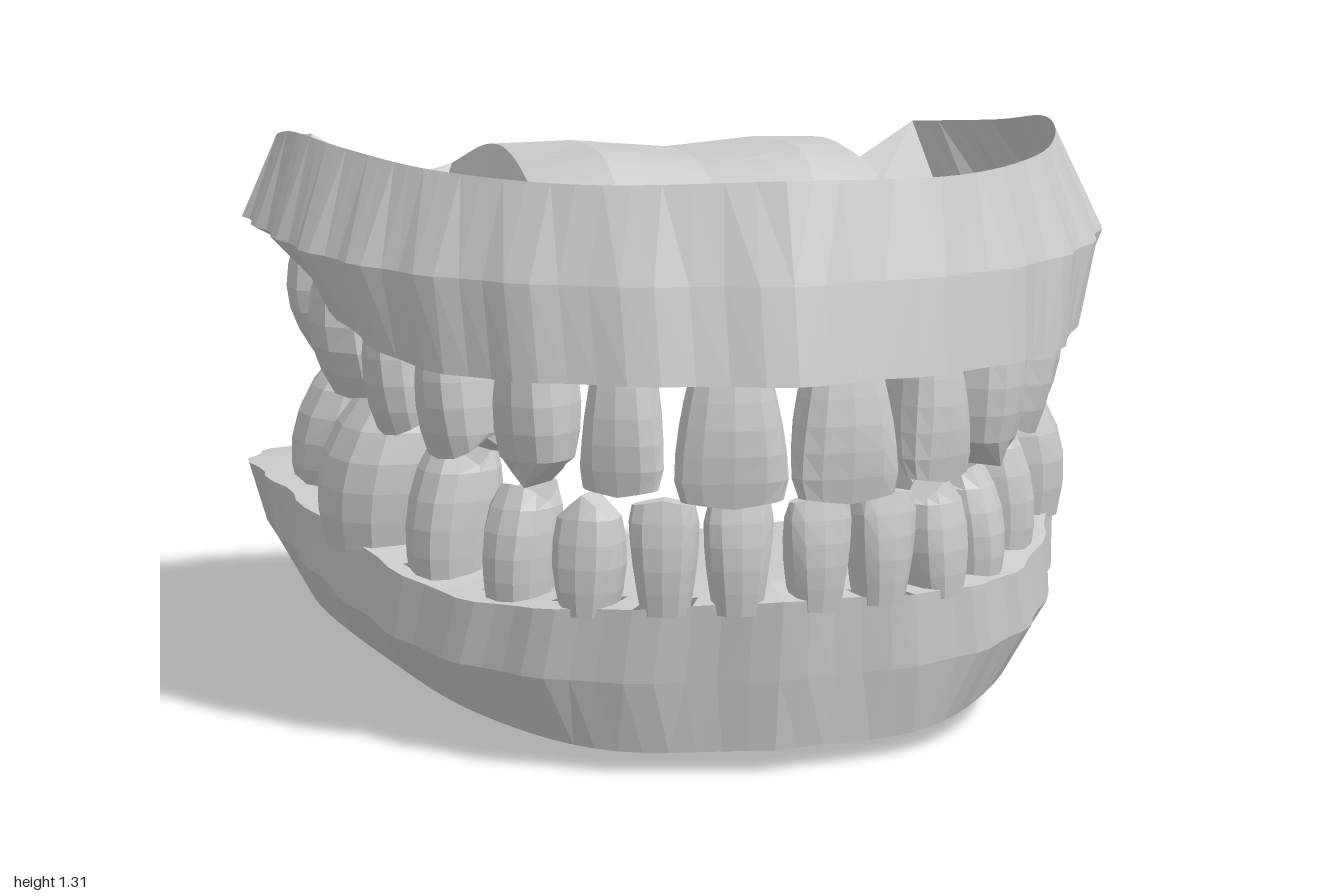
import * as THREE from 'three';

const gumMaterial = new THREE.MeshStandardMaterial({ color: 0xcccccc, flatShading: true, side: THREE.DoubleSide });
const toothMaterial = new THREE.MeshStandardMaterial({ color: 0xcccccc, flatShading: true });
const V = (x, y, z) => new THREE.Vector3(x, y, z);
const STEPS = 40;

// Each row runs from the middle of the front to the back of one side: [x, y, z]
const upperRows = [
  [[0, 1.29, .8], [.4, 1.28, .68], [.67, 1.29, .42], [.82, 1.31, .12], [.9, 1.32, -.2], [.9, 1.28, -.55], [.78, 1.25, -.88]],
  [[0, 1.08, .87], [.45, 1.08, .74], [.74, 1.08, .48], [.91, 1.09, .18], [.975, 1.1, -.15], [.985, 1.1, -.48], [.83, 1.06, -.79]],
  [[0, .88, .92], [.44, .88, .78], [.72, .88, .5], [.85, .94, .18], [.88, 1.04, -.15], [.87, 1.07, -.42], [.76, .88, -.71]],
  [[0, .9, .73], [.24, .9, .64], [.42, .9, .46], [.53, .9, .18], [.55, .88, -.2], [.55, .88, -.55], [.55, .89, -.71]],
  [[0, .94, .62], [.15, .95, .55], [.32, .99, .36], [.4, 1.19, .15], [.4, 1.26, -.2], [.4, 1.25, -.52], [.43, 1.17, -.87]],
  [[0, .92, .56], [.08, .93, .5], [.2, 1.0, .34], [.23, 1.25, .13], [.23, 1.28, -.2], [.23, 1.25, -.52], [.22, 1.18, -.87]],
  [[0, .9, .52], [0, .92, .47], [0, 1.0, .34], [0, 1.22, .13], [0, 1.26, -.2], [0, 1.23, -.52], [0, 1.18, -.85]],
];
const lowerRows = [
  [[0, .06, .73], [.36, .06, .64], [.6, .1, .42], [.76, .16, .1], [.85, .19, -.25], [.84, .17, -.6], [.72, .01, -.92]],
  [[0, .22, .76], [.42, .22, .66], [.68, .23, .42], [.83, .28, .1], [.92, .34, -.25], [.93, .34, -.6], [.79, .26, -.86]],
  [[0, .4, .79], [.4, .38, .68], [.65, .37, .45], [.83, .43, .1], [.93, .48, -.25], [.98, .5, -.55], [.84, .49, -.77]],
  [[0, .42, .67], [.26, .4, .55], [.42, .41, .36], [.51, .45, .1], [.55, .51, -.25], [.56, .54, -.55], [.6, .5, -.77]],
  [[0, .2, .6], [.2, .2, .48], [.36, .2, .3], [.44, .22, .08], [.46, .24, -.25], [.47, .24, -.55], [.5, .22, -.82]],
  [[0, .19, .58], [0, .19, .46], [0, .19, .28], [0, .2, .06], [0, .21, -.25], [0, .21, -.55], [0, .2, -.82]],
];

// name, kind, x, z, width, depth, neck y, edge y, outward turn in degrees
const upperTeeth = [
  ['CentralIncisor', 'incisor', .12, .81, .24, .15, .9, .62, 6],
  ['LateralIncisor', 'incisor', .33, .735, .18, .15, .92, .64, 26],
  ['Canine', 'canine', .49, .61, .18, .2, .94, .64, 46],
  ['FirstPremolar', 'premolar', .61, .4, .17, .24, .96, .67, 60],
  ['SecondPremolar', 'premolar', .69, .21, .18, .25, .98, .69, 72],
  ['FirstMolar', 'molar', .725, -.045, .36, .36, 1.02, .74, 85],
  ['SecondMolar', 'molar', .73, -.41, .33, .36, 1.04, .78, 93],
];
const lowerTeeth = [
  ['CentralIncisor', 'incisor', .085, .73, .15, .13, .37, .62, 4],
  ['LateralIncisor', 'incisor', .235, .7, .15, .13, .37, .62, 18],
  ['Canine', 'canine', .38, .615, .16, .16, .36, .62, 36],
  ['FirstPremolar', 'premolar', .5, .47, .16, .2, .36, .62, 50],
  ['SecondPremolar', 'premolar', .62, .28, .18, .23, .37, .68, 65],
  ['FirstMolar', 'molar', .72, .02, .35, .36, .41, .745, 80],
  ['SecondMolar', 'molar', .74, -.35, .35, .36, .46, .77, 90],
];

// True where a tooth passes through the gum
function insideTooth(p, teeth) {
  return teeth.some(([, , x, z, w, d, , , turn]) => {
    const a = THREE.MathUtils.degToRad(turn), dx = p.x - x, dz = p.z - z;
    const across = dx * Math.cos(a) - dz * Math.sin(a), out = dx * Math.sin(a) + dz * Math.cos(a);
    return Math.hypot(across / (w * .34), out / (d * .36)) < 1;
  });
}

// Skin between the rows with open tooth sockets, and the back end closed by a fan
function gumHalf(rows, teeth, capExtra) {
  const grid = rows.map((row, r) => {
    const curve = new THREE.CatmullRomCurve3(row.map(p => V(...p)));
    return Array.from({ length: STEPS + 1 }, (_, i) => {
      const p = curve.getPoint(i / STEPS);
      // Shallow root ridges on the outer wall
      if ((r === 1 || r === 2) && i > 0 && i < STEPS) {
        const k = 1 + .007 * (i % 4 < 2 ? 1 : -1);
        p.x *= k;
        p.z *= k;
      }
      return p;
    });
  });
  const pos = [];
  const tri = (...ps) => ps.forEach(p => pos.push(p.x, p.y, p.z));
  for (let r = 0; r < rows.length - 1; r++) {
    const bands = r === 2 ? 8 : 1;                  // fine bands where the sockets are
    for (let i = 0; i < STEPS; i++) {
      for (let j = 0; j < bands; j++) {
        const at = (col, k) => grid[r][col].clone().lerp(grid[r + 1][col], k / bands);
        const a = at(i, j), b = at(i + 1, j), c = at(i + 1, j + 1), d = at(i, j + 1);
        const middle = a.clone().lerp(c, .5);
        if (r === 2 && insideTooth(middle, teeth)) continue;
        tri(a, d, b);
        tri(b, d, c);
      }
    }
  }
  const cap = grid.slice(0, 5).map(g => g[STEPS]).concat(capExtra);
  const mid = cap.reduce((s, p) => s.add(p), V(0, 0, 0)).divideScalar(cap.length);
  cap.forEach((p, i) => tri(p, mid, cap[(i + 1) % cap.length]));
  const geo = new THREE.BufferGeometry();
  geo.setAttribute('position', new THREE.Float32BufferAttribute(pos, 3));
  geo.computeVertexNormals();
  return geo;
}

// Hollow crown profile: biting face, outer wall up to the neck, then the inside
const crownProfile = [[0, -1], [1, -1], [1, -.8], [1, -.6], [1, -.4], [1, -.2], [1, 0], [.82, -.72], [0, -.7]]
  .map(p => new THREE.Vector2(...p));

// Crown with its neck at the top and its biting edge at the bottom
function toothGeometry(kind, w, d, h, { lean, neckWidth, edgeTaper }) {
  const geo = new THREE.LatheGeometry(crownProfile, 12);
  const p = geo.attributes.position;
  for (let i = 0; i < p.count; i++) {
    const t = -p.getY(i);                           // 0 neck, 1 biting edge
    let x = p.getX(i), z = p.getZ(i);
    const centre = Math.hypot(x, z) < .01;
    const belly = Math.sin(t * 2.9);
    // Squarer outline than a circle
    x = Math.sign(x) * Math.pow(Math.abs(x), .8);
    z = Math.sign(z) * Math.pow(Math.abs(z), .8);
    let sx, sz, y = -t * h, dz = 0;
    if (kind === 'incisor') {
      sx = .7 + .3 * Math.sin(Math.min(t * 1.9, 1.57));
      sz = .8 + .25 * belly - .5 * t * t;
      dz = d * .2 * t * t;
      if (t > .99) { sx *= .9; y += h * .05 * Math.abs(x); }
    } else if (kind === 'canine') {
      sx = .7 + .3 * belly - .1 * t * t;
      sz = .85 + .15 * belly - .4 * t * t;
      if (t > .99) y += h * .17 * Math.abs(x);
    } else {
      sx = neckWidth + (1 - neckWidth) * Math.sin(Math.min(t * 2.1, 1.57)) - edgeTaper * Math.pow(t, 5);
      sz = .84 + .16 * belly - .26 * t * t;
      dz = -lean * d * t * t;
      if (t > .99) y += centre ? h * .18 : h * (kind === 'molar' ? .09 : .16) * (1 - Math.abs(z));
    }
    p.setXYZ(i, x * sx * w / 2, y, z * sz * d / 2 + dz);
  }
  return geo;
}

function addTeeth(parent, jaw, list, form) {
  for (const [name, kind, x, z, w, d, neck, edge, turn] of list) {
    const geo = toothGeometry(kind, w, d, Math.abs(neck - edge), form);
    // Lower crowns are turned over, keeping their outer face outward
    if (edge > neck) geo.rotateZ(Math.PI);
    geo.rotateY(THREE.MathUtils.degToRad(turn));
    geo.translate(x, neck, z);
    geo.computeVertexNormals();
    const tooth = new THREE.Mesh(geo, toothMaterial);
    tooth.name = jaw + name;
    parent.add(tooth);
  }
}

export function createModel() {
  const model = new THREE.Group();
  model.name = 'dentalModel';

  const upperGum = gumHalf(upperRows, upperTeeth, [V(.58, 1.13, -.85)]);
  const lowerGum = gumHalf(lowerRows, lowerTeeth, [V(.67, .08, -.9)]);

  for (const [side, sign] of [['left', 1], ['right', -1]]) {
    const half = new THREE.Group();
    half.name = side + 'Half';
    half.scale.x = sign;
    const upper = new THREE.Mesh(upperGum, gumMaterial);
    upper.name = side + 'UpperGumAndPalate';
    const lower = new THREE.Mesh(lowerGum, gumMaterial);
    lower.name = side + 'LowerGumAndFloor';
    half.add(upper, lower);
    addTeeth(half, side + 'Upper', upperTeeth, { lean: 0, neckWidth: .66, edgeTaper: .1 });
    addTeeth(half, side + 'Lower', lowerTeeth, { lean: .13, neckWidth: .82, edgeTaper: .3 });
    model.add(half);
  }

  // Upright strip closing the back of the lower floor
  const strip = new THREE.PlaneGeometry(1, 1, 2, 1);
  const p = strip.attributes.position;
  for (let i = 0; i < p.count; i++) {
    const top = p.getY(i) > 0, x = p.getX(i) * 2;
    p.setXYZ(i, x * (top ? .5 : .67), top ? .2 + .02 * Math.abs(x) : .08, top ? -.82 : -.9);
  }
  strip.computeVertexNormals();
  const back = new THREE.Mesh(strip, gumMaterial);
  back.name = 'lowerBackStrip';
  model.add(back);

  return model;
}
